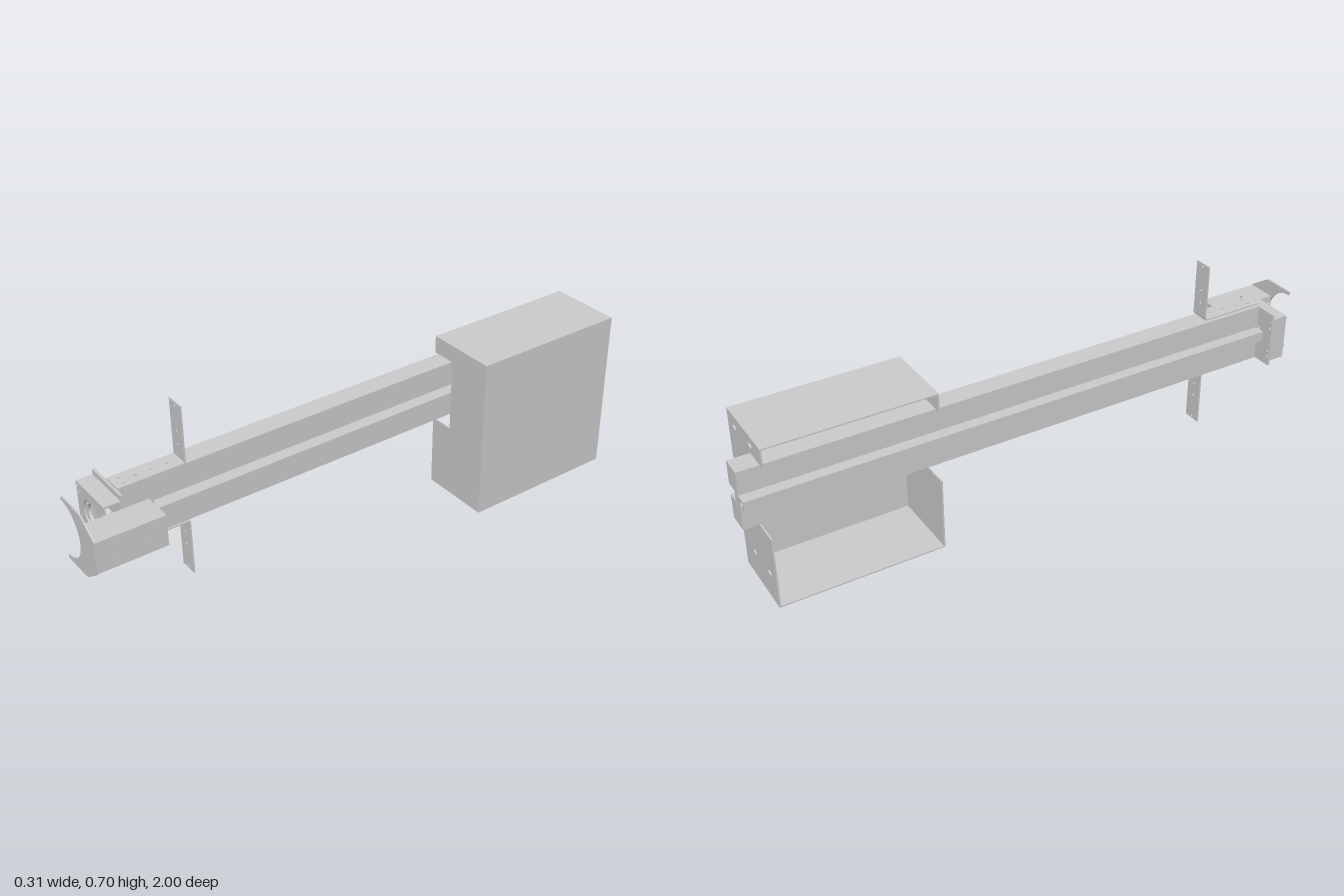
import * as THREE from 'three';

const material = new THREE.MeshStandardMaterial({ color: 0xcccccc, side: THREE.DoubleSide });
const CY = 0.409; // height of the beam axis
const T = 0.005;  // sheet thickness

function add(parent, name, geometry) {
  const mesh = new THREE.Mesh(geometry, material);
  mesh.name = name;
  parent.add(mesh);
  return mesh;
}

// Box given by its limits on each axis
function box(parent, name, [x0, x1], [y0, y1], [z0, z1]) {
  const g = new THREE.BoxGeometry(x1 - x0, y1 - y0, z1 - z0);
  g.translate((x0 + x1) / 2, (y0 + y1) / 2, (z0 + z1) / 2);
  return add(parent, name, g);
}

const rect = (x0, x1, y0, y1) => [[x0, y0], [x1, y0], [x1, y1], [x0, y1]];

// Sheet outline with round or oval holes [x, y, rx, ry]
function sheet(points, holes, depth = T) {
  const s = points instanceof THREE.Shape ? points
    : new THREE.Shape(points.map(p => new THREE.Vector2(...p)));
  for (const [x, y, rx, ry = rx] of holes) {
    s.holes.push(new THREE.Path().absellipse(x, y, rx, ry, 0, Math.PI * 2, true));
  }
  return new THREE.ExtrudeGeometry(s, { depth, bevelEnabled: false, curveSegments: 16 });
}

function beam() {
  const g = new THREE.Group();
  g.name = 'beam';
  box(g, 'upperRail', [-0.085, -0.015], [0.43, 0.508], [-1, 0.853]);
  box(g, 'lowerRail', [-0.085, -0.015], [0.31, 0.392], [-1, 0.853]);
  box(g, 'railSpacer', [-0.06, -0.015], [0.392, 0.43], [0.743, 0.853]);
  // centre bar, standing out on the right side, with a threaded bore at the rear
  const bar = sheet(rect(-0.12, -0.055, 0.394, 0.428), [[-0.102, 0.411, 0.01]], 1.85);
  add(g, 'centreBar', bar.translate(0, 0, -1));
  return g;
}

function housing() {
  const g = new THREE.Group();
  g.name = 'housing';
  const [x0, x1, h, z0, z1] = [-0.1, 0.153, 0.568, -0.928, -0.37];
  // end sheets notched around the beam
  const outline = [[x0, 0], [x1, 0], [x1, h], [x0, h], [x0, 0.507],
    [-0.013, 0.507], [-0.013, 0.253], [x0, 0.253]];
  add(g, 'frontSheet', sheet(outline, []).translate(0, 0, z1 - T));
  const slots = [[0.1, 0.53], [-0.02, 0.537], [0.1, 0.295], [0.015, 0.295], [0.065, 0.1], [-0.05, 0.1]]
    .map(([x, y]) => [x, y, 0.014, 0.008]);
  add(g, 'backSheet', sheet(outline, slots).translate(0, 0, z0));
  box(g, 'topSheet', [x0, x1], [h - T, h], [z0, z1]);
  box(g, 'bottomSheet', [x0, x1], [0, T], [z0, z1]);
  box(g, 'sideSheet', [x1 - T, x1], [0, h], [z0, z1]);
  return g;
}

// L bracket lying on the beam with an upright arm
function mountingBracket(name, turned) {
  const g = new THREE.Group();
  g.name = name;
  const w = 0.031;
  const r = 0.0045;
  const arm = sheet(rect(-w, w, 0.108, 0.295), [0.286, 0.201, 0.156].map(y => [0, y, r]));
  add(g, 'arm', arm.translate(0, 0, 0.633));
  const foot = sheet(rect(-w, w, 0.64, 0.855),
    [[0, 0.68, r], [0, 0.73, r], [0, 0.78, r], [-0.015, 0.825, r], [0.015, 0.825, r]]);
  add(g, 'foot', foot.rotateX(Math.PI / 2).translate(0, 0.104, 0));
  // rounded bend between arm and foot
  const bend = new THREE.Shape();
  bend.moveTo(0.633, 0.11);
  bend.quadraticCurveTo(0.633, 0.099, 0.645, 0.099);
  bend.lineTo(0.645, 0.104);
  bend.quadraticCurveTo(0.638, 0.104, 0.638, 0.11);
  const b = sheet(bend, [], 2 * w);
  add(g, 'bend', b.rotateY(-Math.PI / 2).translate(w, 0, 0));
  g.position.set(-0.041, CY, 0);
  if (turned) g.rotation.z = Math.PI;
  return g;
}

function bearingHead() {
  const g = new THREE.Group();
  g.name = 'bearingHead';
  const cx = -0.07;
  const bolts = [[-0.147, 0.475], [-0.147, 0.452], [-0.147, 0.366], [-0.147, 0.344], [0.005, 0.452], [0.005, 0.366]];
  const boltHoles = bolts.map(([x, y]) => [x, y, 0.004]);
  add(g, 'endPlate', sheet(rect(-0.155, 0.015, 0.313, 0.505), [[cx, CY, 0.036], ...boltHoles], 0.008)
    .translate(0, 0, 0.853));
  // channel in front of the end plate
  add(g, 'channelWeb', sheet(rect(-0.155, 0.015, 0.33, 0.487), [[cx, CY, 0.05], ...boltHoles])
    .translate(0, 0, 0.91));
  box(g, 'channelTop', [-0.155, 0.015], [0.482, 0.487], [0.855, 0.915]);
  box(g, 'channelBottom', [-0.155, 0.015], [0.33, 0.335], [0.855, 0.915]);
  box(g, 'channelSide', [-0.155, -0.15], [0.33, 0.487], [0.858, 0.915]);
  // flanged bearing ring with its screw holes
  const disc = new THREE.Shape().absarc(cx, CY, 0.051, 0, Math.PI * 2);
  const ringHoles = Array.from({ length: 8 }, (_, i) => {
    const a = i * Math.PI / 4;
    return [cx + 0.0425 * Math.cos(a), CY + 0.0425 * Math.sin(a), 0.0035];
  });
  add(g, 'bearingRing', sheet(disc, [[cx, CY, 0.036], ...ringHoles], 0.01).translate(0, 0, 0.9));
  for (const [x, y] of bolts) {
    add(g, 'boltRing', new THREE.TorusGeometry(0.006, 0.0018, 6, 16).translate(x, y, 0.915));
  }
  return g;
}

function guard() {
  const g = new THREE.Group();
  g.name = 'motorGuard';
  // crescent front sheet
  const s = new THREE.Shape();
  s.moveTo(-0.07, 0.302);
  s.lineTo(0.03, 0.302);
  s.quadraticCurveTo(0.045, 0.302, 0.06, 0.313);
  s.lineTo(0.118, 0.356);
  s.lineTo(0.118, 0.464);
  s.lineTo(0.06, 0.505);
  s.quadraticCurveTo(0.045, 0.516, 0.03, 0.516);
  s.lineTo(-0.07, 0.516);
  s.lineTo(-0.07, CY + 0.095);
  s.absarc(-0.07, CY, 0.095, Math.PI / 2, -Math.PI / 2, true);
  add(g, 'crescentSheet', sheet(s, []).translate(0, 0, 0.995));
  box(g, 'motorCase', [0.018, 0.118], [0.358, 0.462], [0.775, 0.997]);
  // screws on the outer side
  for (const z of [0.83, 0.945]) for (const y of [0.387, 0.433]) {
    add(g, 'caseScrew', new THREE.CylinderGeometry(0.004, 0.004, 0.002, 12)
      .rotateZ(Math.PI / 2).translate(0.118, y, z));
  }
  // pinion teeth in the gap between head and guard
  for (let i = 0; i < 6; i++) {
    const y = 0.385 + i * 0.01;
    box(g, 'pinionTooth', [0.01, 0.02], [y - 0.0025, y + 0.0025], [0.92, 0.99]);
  }
  return g;
}

export function createModel() {
  const model = new THREE.Group();
  model.name = 'linearActuator';
  model.add(
    beam(),
    housing(),
    mountingBracket('upperBracket', false),
    mountingBracket('lowerBracket', true),
    bearingHead(),
    guard()
  );
  return model;
}
